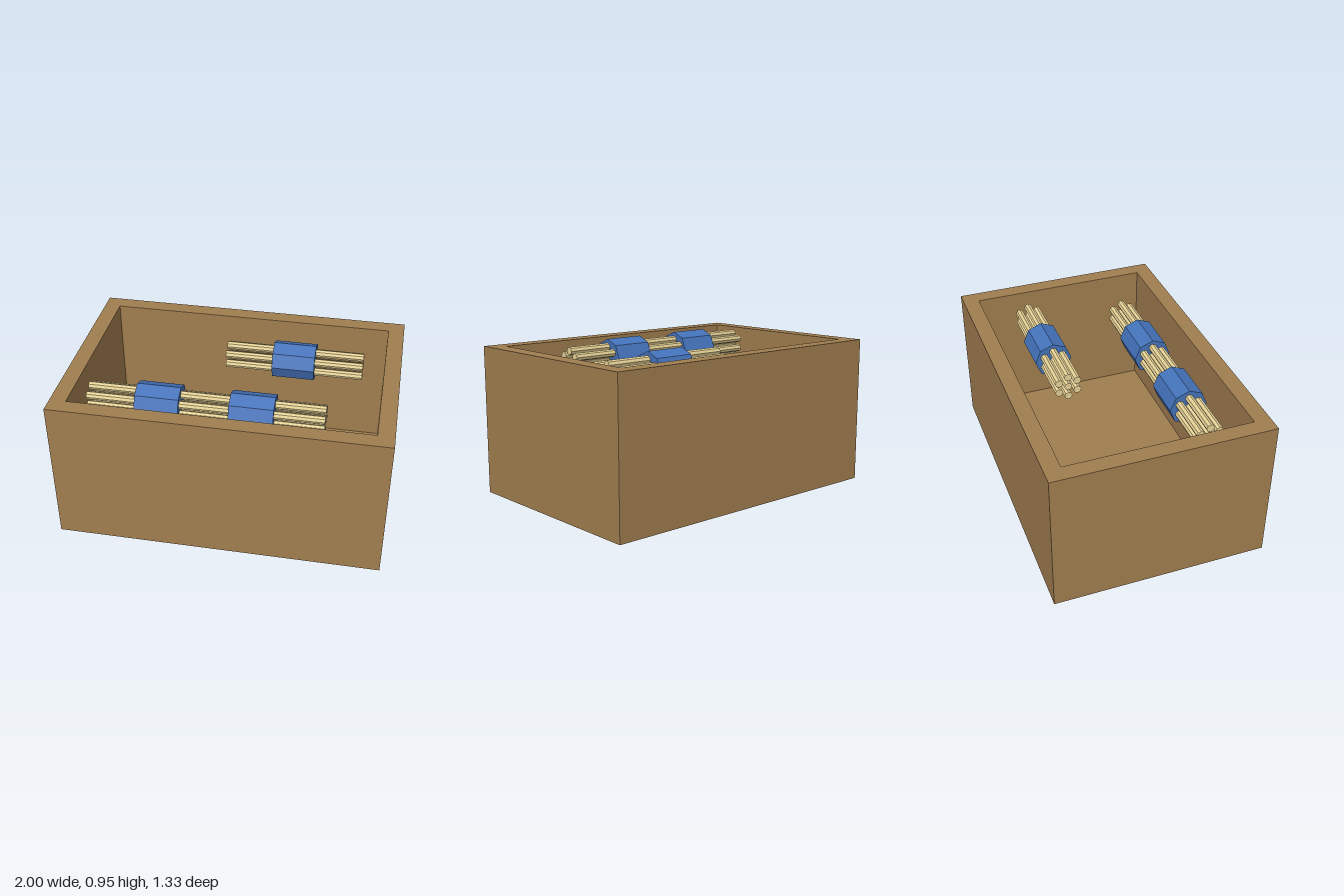
import * as THREE from 'three';

const wood = new THREE.MeshStandardMaterial({ color: 0xa07d4f });
const blue = new THREE.MeshStandardMaterial({ color: 0x4472ba, flatShading: true });
const straw = new THREE.MeshStandardMaterial({ color: 0xe6d296, flatShading: true });

const W = 2, H = 0.933, D = 1.333, T = 0.1;

function add(parent, name, geometry, material) {
  const mesh = new THREE.Mesh(geometry, material);
  mesh.name = name;
  parent.add(mesh);
  return mesh;
}

function rectangle(target, w, d) {
  target.moveTo(-w / 2, -d / 2);
  target.lineTo(w / 2, -d / 2);
  target.lineTo(w / 2, d / 2);
  target.lineTo(-w / 2, d / 2);
  target.closePath();
  return target;
}

// Eight-sided bar lying along x, with an edge on top
function bar(radius, x0, x1, y, z) {
  return new THREE.CylinderGeometry(radius, radius, x1 - x0, 8)
    .rotateZ(Math.PI / 2)
    .translate((x0 + x1) / 2, y, z);
}

// Thin rods (one in the middle, six around it) held by thick sleeves
function rodBundle(name, x0, x1, z, sleeves) {
  const bundle = new THREE.Group();
  bundle.name = name;
  bundle.position.set(0, 0.833, z);
  add(bundle, 'centreRod', bar(0.025, x0, x1, 0, 0), straw);
  for (let i = 0; i < 6; i++) {
    const a = (i * Math.PI) / 3;
    add(bundle, 'outerRod', bar(0.025, x0, x1, 0.0667 * Math.cos(a), 0.0667 * Math.sin(a)), straw);
  }
  for (const x of sleeves) {
    add(bundle, 'sleeve', bar(0.1167, x - 0.133, x + 0.133, 0, 0), blue);
  }
  return bundle;
}

export function createModel() {
  const model = new THREE.Group();
  model.name = 'boxOfRodBundles';

  // Open box: wall frame and the floor inside it
  const frame = rectangle(new THREE.Shape(), W, D);
  frame.holes.push(rectangle(new THREE.Path(), W - 2 * T, D - 2 * T));
  const walls = new THREE.ExtrudeGeometry(frame, { depth: H, bevelEnabled: false });
  add(model, 'boxWalls', walls.rotateX(-Math.PI / 2), wood);
  const floor = new THREE.BoxGeometry(W - 2 * T, T, D - 2 * T);
  add(model, 'boxFloor', floor.translate(0, T / 2, 0), wood);

  // Long bundle in front, short one behind
  model.add(rodBundle('longBundle', -0.833, 0.597, 0.333, [-0.4, 0.165]));
  model.add(rodBundle('shortBundle', -0.1, 0.767, -0.267, [0.333]));
  return model;
}
